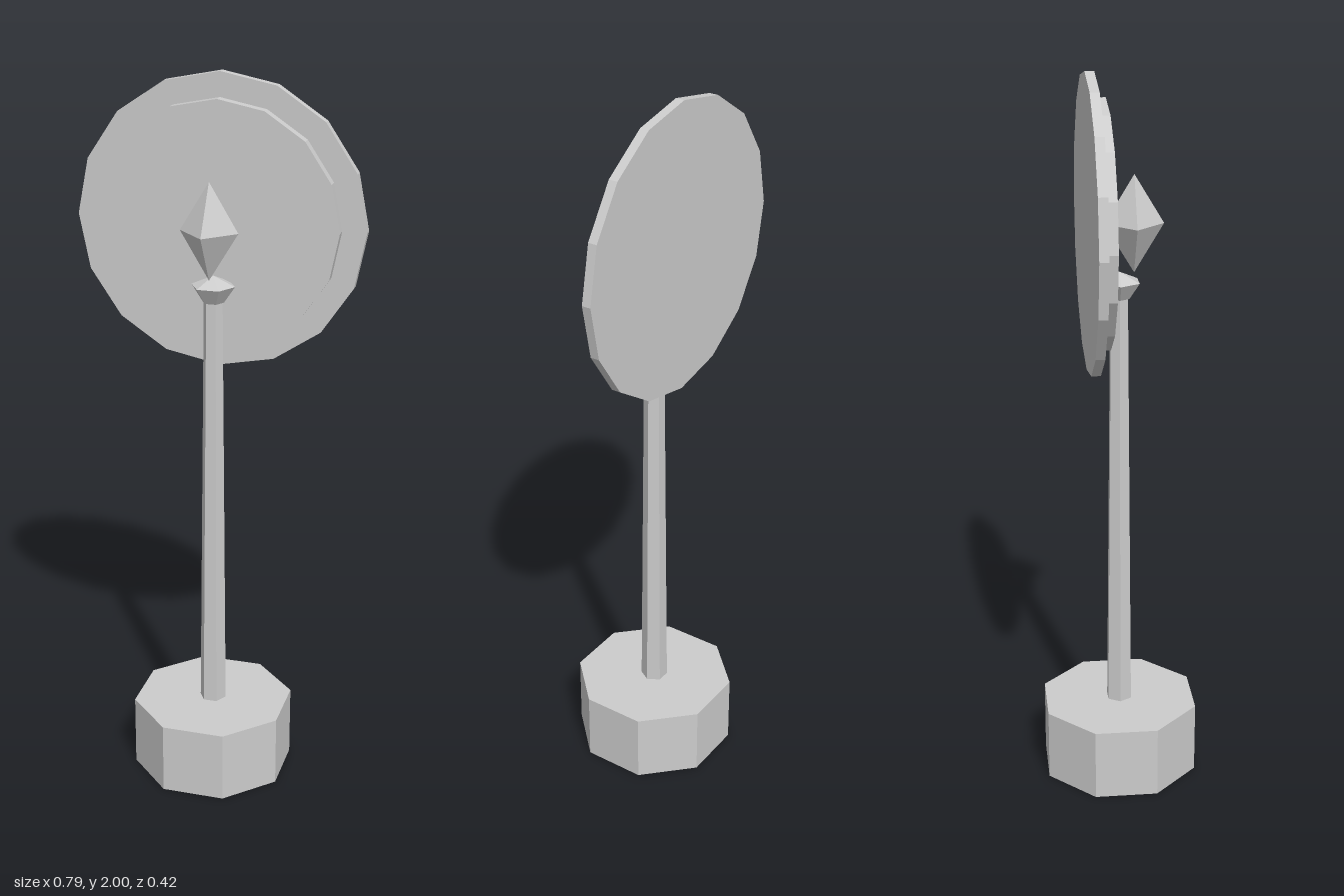
import * as THREE from 'three';

export function createModel() {
  const group = new THREE.Group();
  const grey = new THREE.MeshStandardMaterial({ color: 0xcccccc, flatShading: true });
  grey.name = 'light grey';

  const add = (name, geometry, x, y, z) => {
    const mesh = new THREE.Mesh(geometry, grey);
    mesh.name = name;
    mesh.position.set(x, y, z);
    group.add(mesh);
  };

  // Upright prism or frustum between two heights
  const column = (name, rTop, rBottom, y0, y1, sides, turn) => {
    const g = new THREE.CylinderGeometry(rTop, rBottom, y1 - y0, sides).rotateY(turn);
    add(name, g, 0, (y0 + y1) / 2, 0);
  };

  // Octagonal base with flat front, and hexagonal tapering pole
  column('base', 0.229, 0.229, 0, 0.205, 8, Math.PI / 8);
  column('pole', 0.026, 0.038, 0.2, 1.42, 6, Math.PI / 6);

  // Flared collar with a shallow pointed cap
  const collar = new THREE.LatheGeometry([
    new THREE.Vector2(0, 1.405),
    new THREE.Vector2(0.03, 1.405),
    new THREE.Vector2(0.06, 1.45),
    new THREE.Vector2(0, 1.477),
  ], 6).rotateY(Math.PI / 6);
  add('collar', collar, 0, 0, 0);

  // Two stacked sixteen-sided discs facing forward
  const disc = (name, radius, z0, z1) => {
    const g = new THREE.CylinderGeometry(radius, radius, z1 - z0, 16).rotateX(Math.PI / 2);
    add(name, g, 0, 1.604, (z0 + z1) / 2);
  };
  disc('backDisc', 0.396, -0.088, -0.063);
  disc('frontDisc', 0.33, -0.063, -0.034);

  // Stretched octahedral crystal in front of the discs
  const crystal = new THREE.OctahedronGeometry(1).scale(0.079, 0.131, 0.079);
  add('crystal', crystal, 0, 1.605, 0.04);

  return group;
}
